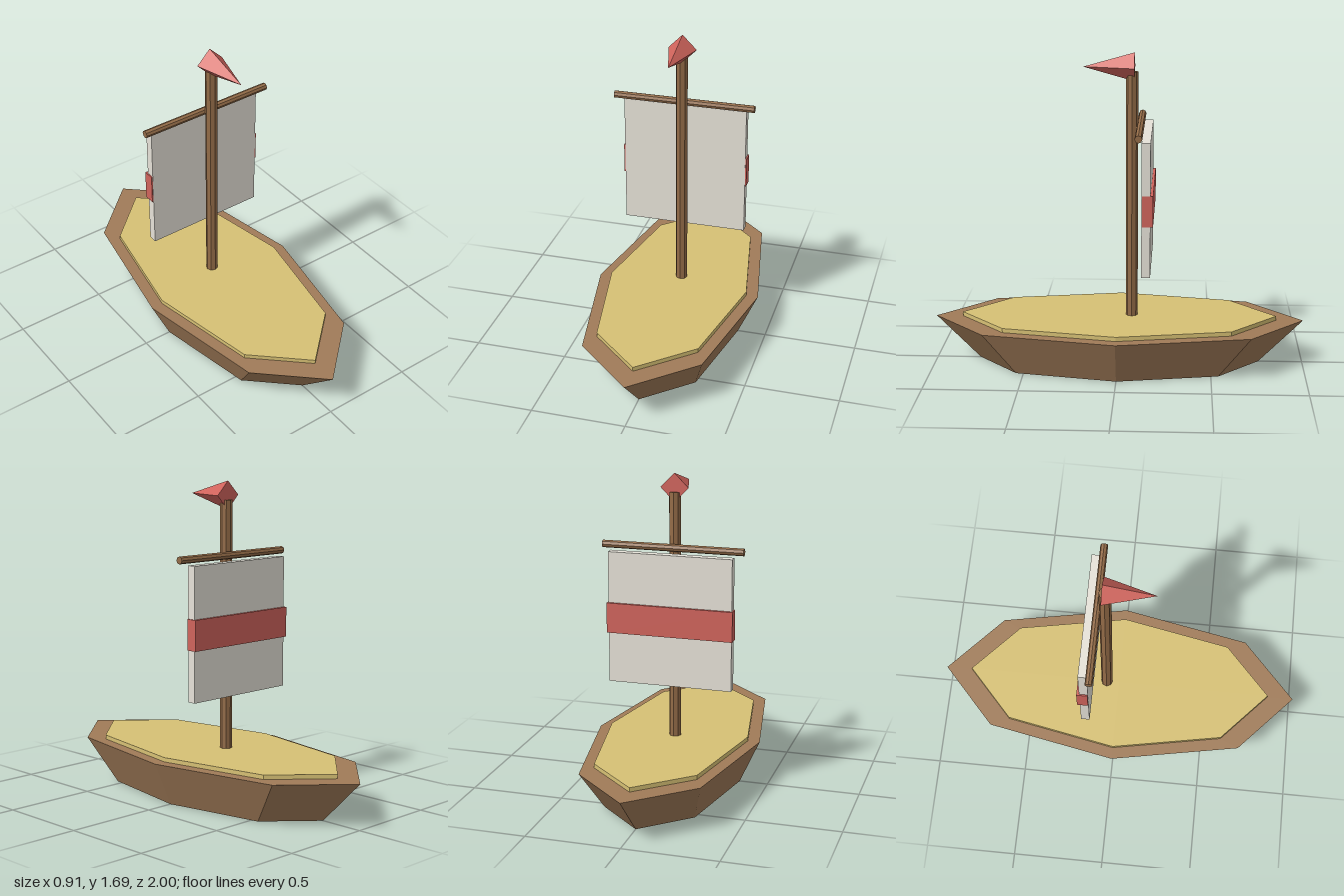
import * as THREE from 'three';

const material = (color) => new THREE.MeshStandardMaterial({ color, flatShading: true });

export function createModel() {
  const boat = new THREE.Group();
  boat.name = 'sailboat';

  const hullWood = material(0xa07b58);
  const deckWood = material(0xd6c074);
  const sparWood = material(0x946c48);
  const canvas = material(0xe6e2d8);
  const red = material(0xd0645c);

  const add = (name, geometry, mat, x, y, z) => {
    const mesh = new THREE.Mesh(geometry, mat);
    mesh.name = name;
    mesh.position.set(x, y, z);
    boat.add(mesh);
    return mesh;
  };

  // Octagonal hull tapering to the keel, stretched along z
  const hull = add('hull', new THREE.CylinderGeometry(1, 0.763, 0.237, 8), hullWood, 0, 0.1185, 0);
  hull.scale.x = 0.453;

  // Raised deck inset from the rim
  const deck = add('deck', new THREE.CylinderGeometry(0.855, 0.855, 0.04, 8), deckWood, 0, 0.24, 0);
  deck.scale.x = 0.453;

  // Mast and crosswise yard
  add('mast', new THREE.CylinderGeometry(0.032, 0.032, 1.35, 8), sparWood, 0, 0.915, -0.07);
  const yard = add('yard', new THREE.CylinderGeometry(0.02, 0.02, 0.765, 8), sparWood, 0, 1.303, -0.115);
  yard.rotation.z = Math.PI / 2;

  // Thick square sail with a red band wrapping its back and sides
  add('sail', new THREE.BoxGeometry(0.67, 0.708, 0.046), canvas, 0, 0.921, -0.153);
  add('sailStripe', new THREE.BoxGeometry(0.684, 0.162, 0.058), red, 0, 0.92, -0.161);

  // Four-sided pennant pointing forward
  const pennant = add('pennant', new THREE.ConeGeometry(0.076, 0.27, 4), red, 0, 1.614, 0.052);
  pennant.rotation.x = Math.PI / 2;

  return boat;
}
